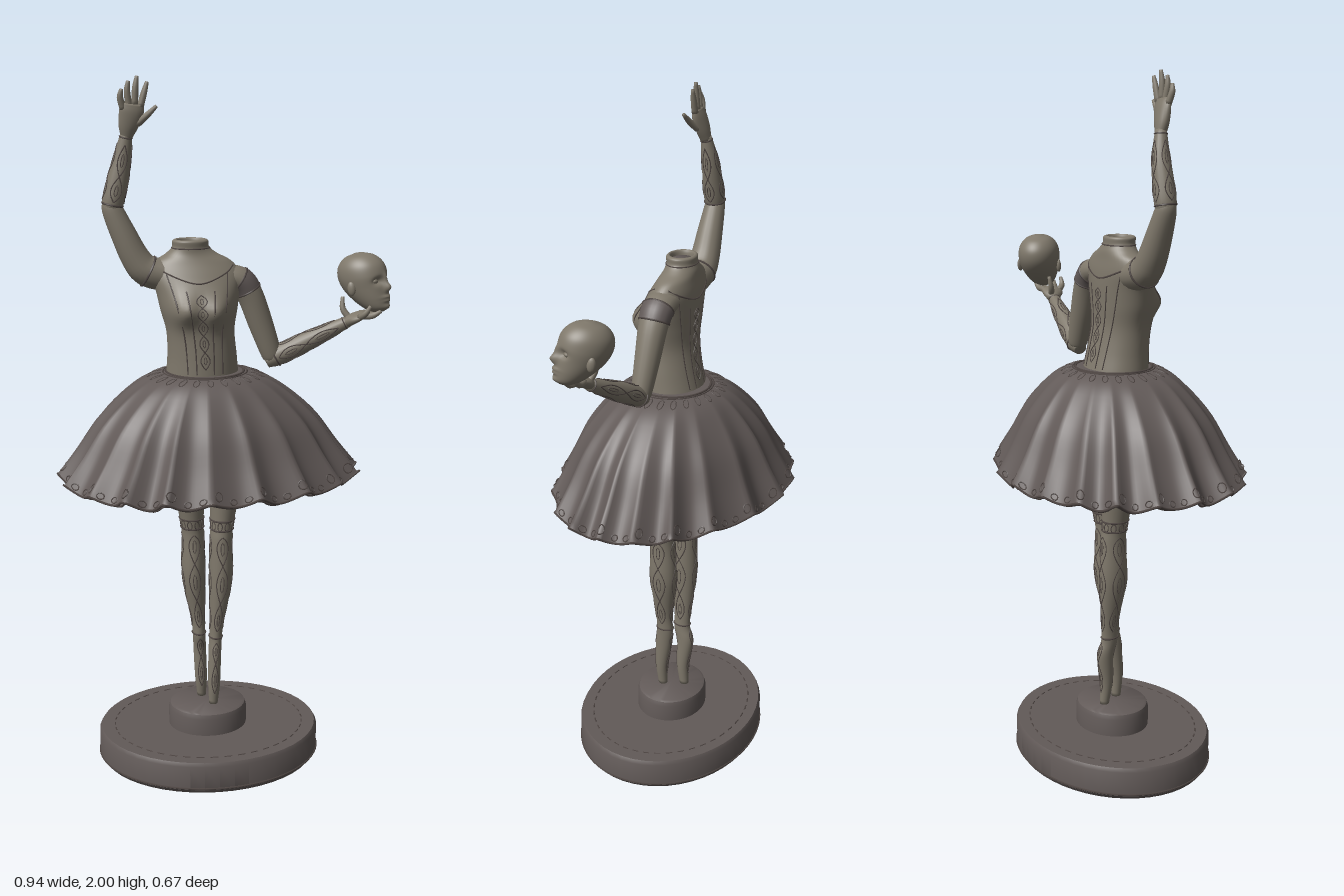
import * as THREE from 'three';
import { mergeGeometries, toCreasedNormals } from 'three/addons/utils/BufferGeometryUtils.js';

const PI = Math.PI, V = (x, y, z) => new THREE.Vector3(x, y, z);

// Surface through stations [x, y, z, sideRadius, depthRadius]; u counts stations, a = PI/2 is the front.
function limb(stations, flat = false, bumps = []) {
  const n = stations.length - 1;
  const curve = (pts) => new THREE.CatmullRomCurve3(pts, false, 'catmullrom', 0.5);
  const path = curve(stations.map((s) => V(s[0], s[1], s[2])));
  const size = curve(stations.map((s) => V(s[3], s[4] ?? s[3], 0)));
  const f = (u, a, k = 1) => {
    const t = u / n, p = path.getPoint(t), r = size.getPoint(t);
    const T = flat ? V(0, 1, 0) : path.getTangent(t);
    const side = T.clone().cross(V(0, 0, 1)).normalize(), depth = side.clone().cross(T);
    p.addScaledVector(side, k * r.x * Math.cos(a)).addScaledVector(depth, k * r.y * Math.sin(a));
    let dz = 0;
    for (const [x, y, h, sx, sy] of bumps) dz += h * Math.exp(-(((p.x - x) / sx) ** 2) - ((p.y - y) / sy) ** 2);
    p.z += dz * k * Math.max(0, Math.sin(a));
    return p;
  };
  f.n = n;
  return f;
}

// Closed-ring grid over f(u, a), with optional end caps
function skin(f, u1, rows, cols, caps = true) {
  const pos = [], idx = [], list = [];
  for (let i = 0; i <= rows; i++) list.push([(u1 * i) / rows, 1]);
  if (caps) { list.unshift([0, 0]); list.push([u1, 0]); }
  list.forEach(([u, k], i) => {
    for (let j = 0; j < cols; j++) {
      pos.push(...f(u, (j / cols) * 2 * PI, k).toArray());
      if (i === list.length - 1) continue;
      const a = i * cols + j, b = i * cols + ((j + 1) % cols);
      idx.push(a, a + cols, b, b, a + cols, b + cols);
    }
  });
  const g = new THREE.BufferGeometry();
  g.setAttribute('position', new THREE.Float32BufferAttribute(pos, 3));
  g.setIndex(idx);
  g.computeVertexNormals();
  return g;
}

// Raised seam following [u, a] pairs on a surface
function seam(f, uv, r = 0.002, closed = false, segs = uv.length * 2) {
  const c = new THREE.CatmullRomCurve3(uv.map(([u, a]) => f(u, a)), closed);
  return new THREE.TubeGeometry(c, segs, r, 4, closed);
}
const ring = (f, u, r = 0.0028, n = 28) =>
  seam(f, Array.from({ length: n }, (_, i) => [u, (i / n) * 2 * PI]), r, true);
const loop = (f, u, a, du, da, r = 0.0015) =>
  seam(f, Array.from({ length: 8 }, (_, i) => [u + du * Math.cos((i * PI) / 4), a + da * Math.sin((i * PI) / 4)]), r, true, 12);

// Two crossing strands with leaves between them
function vine(f, u0, u1, a0, w, turns) {
  const out = [];
  for (const s of [-1, 1]) {
    out.push(seam(f, Array.from({ length: turns * 6 + 1 }, (_, i) =>
      [u0 + ((u1 - u0) * i) / (turns * 6), a0 + s * w * Math.sin((i * PI) / 6)]), 0.0016));
  }
  for (let i = 0; i < turns; i++) out.push(loop(f, u0 + ((u1 - u0) * (i + 0.5)) / turns, a0, ((u1 - u0) / turns) * 0.22, w * 0.3, 0.0012));
  return out;
}

export function createModel() {
  const root = new THREE.Group();
  const mat = (name, color) => Object.assign(new THREE.MeshStandardMaterial({ color, side: THREE.DoubleSide }), { name });
  const body = mat('porcelain', 0x7f786b), cloth = mat('cloth', 0x625a58), trim = mat('lace', 0x534a47);
  const add = (name, geo, m, parent = root) => {
    const mesh = new THREE.Mesh(geo, m);
    mesh.name = name;
    parent.add(mesh);
    return mesh;
  };
  const lace = (name, list) => add(name, mergeGeometries(list), trim);

  // Oval base and pedestal
  const turned = (name, pts, x, z, sx, sz) => {
    const g = new THREE.LatheGeometry(pts.map((p) => new THREE.Vector2(...p)), 48);
    g.scale(sx, 1, sz).translate(x, 0, z);
    add(name, toCreasedNormals(g, 0.6), cloth);
  };
  turned('base', [[0, 0], [0.97, 0], [1, 0.012], [1, 0.085], [0.98, 0.096], [0, 0.096]], -0.04, 0, 0.33, 0.272);
  turned('pedestal', [[0, 0.09], [1, 0.09], [1, 0.148], [0.96, 0.161], [0.9, 0.165], [0, 0.165]], -0.043, 0, 0.117, 0.104);
  const baseTop = (u, a) => V(-0.04 + 0.33 * u * Math.cos(a), 0.096, 0.272 * u * Math.sin(a));
  const dashes = [ring((u, a) => baseTop(u, a).setY(0.016), 1, 0.003, 48)];
  for (let i = 0; i < 44; i++) dashes.push(seam(baseTop, [0, 0.04, 0.08].map((d) => [0.86, (i / 44) * 2 * PI + d])));
  lace('baseTrim', dashes);

  // Legs on pointe
  const leftLeg = [
    [0.014, 1.12, -0.004, 0.06, 0.075], [0.012, 0.9, -0.001, 0.052, 0.058], [0.001, 0.74, 0.006, 0.035, 0.039],
    [-0.003, 0.68, 0.01, 0.033, 0.038], [-0.004, 0.56, 0.009, 0.034, 0.042], [-0.016, 0.43, 0.013, 0.021, 0.027],
    [-0.02, 0.37, 0.012, 0.019, 0.026], [-0.023, 0.32, 0.018, 0.019, 0.026], [-0.026, 0.23, 0.026, 0.018, 0.019],
    [-0.028, 0.165, 0.024, 0.013, 0.014]];
  const rightLeg = leftLeg.map(([x, y, z, a, b]) => [-0.085 - x, y, -0.012 - z, a, b]);
  rightLeg[7][2] = -0.036;
  rightLeg[8][2] = -0.031;
  for (const [name, st] of [['leftLeg', leftLeg], ['rightLeg', rightLeg]]) {
    const f = limb(st, true);
    add(name, skin(f, f.n, 54, 24), body);
    const garter = Array.from({ length: 10 }, (_, i) => loop(f, 2.12, i * 0.2 * PI, 0.15, 0.2));
    lace(name + 'Lace', [ring(f, 1.95), ring(f, 2.3), ring(f, 5.85), ...garter,
      ...[0, 1, 2, 3].flatMap((i) => vine(f, 2.7, 5.4, (i * PI) / 2, 0.5, 3)),
      ...[0, 2].flatMap((i) => vine(f, 6.1, 8.4, ((i + 1) * PI) / 2, 0.5, 2))]);
  }

  // Torso with bust and hollow neck
  const torso = limb([
    [-0.043, 1.06, -0.003, 0.06, 0.055], [-0.048, 1.12, -0.005, 0.108, 0.09], [-0.055, 1.17, 0, 0.104, 0.09],
    [-0.057, 1.24, 0.008, 0.098, 0.082], [-0.062, 1.31, 0.014, 0.096, 0.076], [-0.066, 1.37, 0.015, 0.108, 0.078],
    [-0.068, 1.42, 0.01, 0.117, 0.075], [-0.073, 1.465, 0, 0.126, 0.064], [-0.08, 1.5, -0.007, 0.108, 0.052],
    [-0.084, 1.522, -0.01, 0.072, 0.046], [-0.086, 1.54, -0.008, 0.052, 0.042], [-0.087, 1.558, -0.007, 0.05, 0.042],
    [-0.087, 1.558, -0.007, 0.036, 0.032], [-0.087, 1.515, -0.007, 0.032, 0.029]],
  true, [[-0.115, 1.375, 0.034, 0.037, 0.04], [-0.02, 1.375, 0.034, 0.037, 0.04]]);
  add('torso', skin(torso, torso.n, 78, 48), body);
  const hollow = (u, a) => torso(u, a).sub(V(-0.087, 0, -0.007)).multiply(V(0.95, 1, 0.95)).add(V(-0.087, 0, -0.007));
  add('neckHollow', skin((u, a, k) => hollow(12.3 + u, a).lerp(V(-0.087, hollow(12.3 + u, a).y + 0.002, -0.007), 1 - k), 0.7, 4, 32, true), cloth);
  const bodice = [ring(torso, 9.9, 0.002)];
  for (const c of [PI / 2, -PI / 2]) {
    bodice.push(seam(torso, [[7.7, c - 1.2], [7.2, c - 0.7], [6.6, c], [7.2, c + 0.7], [7.7, c + 1.2]], 0.0025, false, 24));
    for (const d of [-0.62, 0.62, -0.3, 0.3]) {
      bodice.push(seam(torso, [2.4, 3.2, 4.2, 5.2, 6, Math.abs(d) > 0.5 ? 7.2 : 6.2].map((u) => [u, c + d * (u / 12 + 0.6)]), 0.002, false, 20));
    }
    bodice.push(...vine(torso, 2.6, 6, c, 0.13, 5));
  }
  lace('bodiceLace', bodice);

  // Arms: one raised, one bent to hold the head
  const arms = {
    raisedUpperArm: [[-0.14, 1.46, -0.005, 0.045], [-0.205, 1.475, -0.004, 0.044, 0.045], [-0.238, 1.51, -0.004, 0.04, 0.042],
      [-0.272, 1.58, -0.003, 0.035, 0.036], [-0.3, 1.645, -0.003, 0.029], [-0.302, 1.665, -0.003, 0.024]],
    raisedForearm: [[-0.304, 1.632, -0.003, 0.02], [-0.3, 1.66, -0.003, 0.029], [-0.288, 1.71, -0.002, 0.03, 0.029],
      [-0.272, 1.78, 0, 0.025, 0.024], [-0.259, 1.85, 0.008, 0.016, 0.015]],
    bentUpperArm: [[0.0, 1.458, -0.005, 0.033, 0.045], [0.05, 1.445, -0.005, 0.038, 0.045], [0.08, 1.405, -0.005, 0.037, 0.042],
      [0.112, 1.32, -0.004, 0.035, 0.036], [0.142, 1.235, -0.002, 0.029], [0.148, 1.215, -0.002, 0.022]],
    bentForearm: [[0.128, 1.208, -0.002, 0.018], [0.155, 1.224, 0, 0.028], [0.21, 1.253, 0.01, 0.029],
      [0.285, 1.292, 0.025, 0.024], [0.355, 1.328, 0.04, 0.016]]
  };
  for (const [name, st] of Object.entries(arms)) {
    const f = limb(st), sleeved = name === 'bentUpperArm';
    add(name, skin(f, f.n, 28, 20), body);
    if (sleeved) add('armBand', skin((u, a) => f(1 + u, a, 1.04), 0.8, 6, 24, false), cloth);
    lace(name + 'Lace', name.endsWith('Forearm')
      ? [ring(f, 1), ring(f, 3.85, 0.002), ...[0, 1, 2, 3].flatMap((i) => vine(f, 1.2, 3.6, (i * PI) / 2, 0.5, 2))]
      : [ring(f, 1, 0.0035), ...(sleeved ? [ring(f, 1.8, 0.0035)] : [])]);
  }

  // Hands: palm plus five tapered fingers
  function hand(name, palm, fingers) {
    const f = limb(palm);
    const parts = [skin(f, f.n, 14, 16)];
    for (const [a, b, c] of fingers) {
      const g = limb([[...a, 0.0095], [...b, 0.0085], [...c, 0.005]]);
      parts.push(skin(g, g.n, 8, 10));
    }
    add(name, mergeGeometries(parts), body);
  }
  hand('raisedHand',
    [[-0.259, 1.84, 0.007, 0.016, 0.015], [-0.254, 1.87, 0.014, 0.027, 0.017], [-0.246, 1.905, 0.022, 0.033, 0.015], [-0.243, 1.928, 0.026, 0.03, 0.01]],
    [[[-0.268, 1.915, 0.024], [-0.276, 1.945, 0.03], [-0.272, 1.966, 0.033]], [[-0.252, 1.92, 0.025], [-0.257, 1.96, 0.029], [-0.254, 1.987, 0.03]],
      [[-0.237, 1.925, 0.025], [-0.235, 1.968, 0.027], [-0.23, 2.0, 0.026]], [[-0.222, 1.92, 0.024], [-0.212, 1.955, 0.023], [-0.203, 1.985, 0.022]],
      [[-0.23, 1.875, 0.02], [-0.205, 1.898, 0.032], [-0.18, 1.922, 0.038]]]);
  hand('holdingHand',
    [[0.348, 1.324, 0.038, 0.015, 0.016], [0.365, 1.335, 0.043, 0.015, 0.028], [0.385, 1.345, 0.052, 0.012, 0.034], [0.4, 1.35, 0.058, 0.008, 0.03]],
    [[[0.39, 1.348, 0.03], [0.42, 1.352, 0.026], [0.442, 1.37, 0.026]], [[0.395, 1.348, 0.047], [0.425, 1.349, 0.05], [0.447, 1.364, 0.054]],
      [[0.39, 1.347, 0.064], [0.415, 1.35, 0.08], [0.436, 1.364, 0.09]], [[0.38, 1.345, 0.075], [0.392, 1.358, 0.092], [0.405, 1.38, 0.096]],
      [[0.36, 1.335, 0.035], [0.342, 1.362, 0.025], [0.342, 1.395, 0.018]]]);

  // Held head: skull, face and ears
  const head = new THREE.Group();
  head.name = 'heldHead';
  head.position.set(0.402, 1.436, 0.02);
  head.rotation.set(-0.16, PI / 4, 0, 'YXZ');
  head.scale.set(1.14, 1.13, 1.12);
  root.add(head);
  const face = limb([[0, -0.076, 0.034, 0.012, 0.013], [0, -0.066, 0.03, 0.027, 0.03], [0, -0.045, 0.018, 0.039, 0.045],
    [0, -0.015, 0.004, 0.049, 0.058], [0, 0.015, -0.002, 0.054, 0.065], [0, 0.043, -0.004, 0.05, 0.06],
    [0, 0.064, -0.005, 0.034, 0.04], [0, 0.074, -0.005, 0.008, 0.01]], true,
  [[0, -0.018, 0.014, 0.008, 0.011], [0, 0, 0.007, 0.006, 0.016], [-0.021, 0.001, -0.012, 0.012, 0.009], [0.021, 0.001, -0.012, 0.012, 0.009],
    [0, -0.04, 0.007, 0.015, 0.004], [0, -0.049, 0.006, 0.012, 0.004], [0, -0.066, 0.005, 0.014, 0.008]]);
  add('skullAndFace', skin(face, face.n, 60, 64), body, head);
  for (const s of [-1, 1]) {
    const ear = add('ear', new THREE.SphereGeometry(0.016, 12, 10), body, head);
    ear.scale.set(0.4, 1.1, 0.65);
    ear.position.set(s * 0.053, -0.01, -0.004);
    ear.rotation.y = s * -0.4;
    const eye = add('eyelid', new THREE.SphereGeometry(0.009, 12, 8), body, head);
    eye.scale.set(1.1, 0.65, 0.6);
    eye.position.set(s * 0.021, 0.001, 0.047);
  }

  // Pleated skirt, underskirt and lace trim
  const prof = new THREE.CatmullRomCurve3([[-0.12, 1.192], [0, 1.19], [0.16, 1.178], [0.34, 1.146], [0.63, 1.06], [0.83, 0.965], [1, 0.888]].map(([s, y]) => V(s, y, 0)));
  const skirt = (t, a, k = 1) => {
    const { x: s, y } = prof.getPoint(t);
    const w = (1 - 2 * Math.abs(Math.sin(10 * a + 0.5 * Math.sin(3 * a)))) * (1 + 0.35 * Math.sin(7 * a));
    const m = k * (1 + 0.035 * s * w), sway = 0.012 * s * Math.sin(3 * a + 1);
    return V(-0.048 + (0.11 + 0.31 * s + sway) * m * Math.cos(a), y + 0.012 * s ** 3 * w - (1 - k) * 0.15, (0.108 + 0.215 * s + sway) * m * Math.sin(a));
  };
  const under = (t, a) => skirt(t, a, 0.95);
  add('skirt', skin(skirt, 1, 28, 240, false), cloth);
  add('underskirt', skin(under, 1, 20, 240, false), cloth);
  const hem = [ring(skirt, 1, 0.0035, 160), ring(under, 1, 0.003, 120), ring(skirt, 1 / 6, 0.004, 40), ring(skirt, 0.2, 0.0025, 40)];
  for (let i = 0; i < 60; i++) {
    const a = (i / 60) * 2 * PI;
    hem.push(loop(skirt, i % 3 ? 0.974 : 0.95, a, i % 3 ? 0.016 : 0.026, 0.025, 0.002));
    if (i < 24) hem.push(loop(skirt, 0.29, (i / 24) * 2 * PI, 0.065, 0.055));
  }
  lace('skirtLace', hem);
  return root;
}
